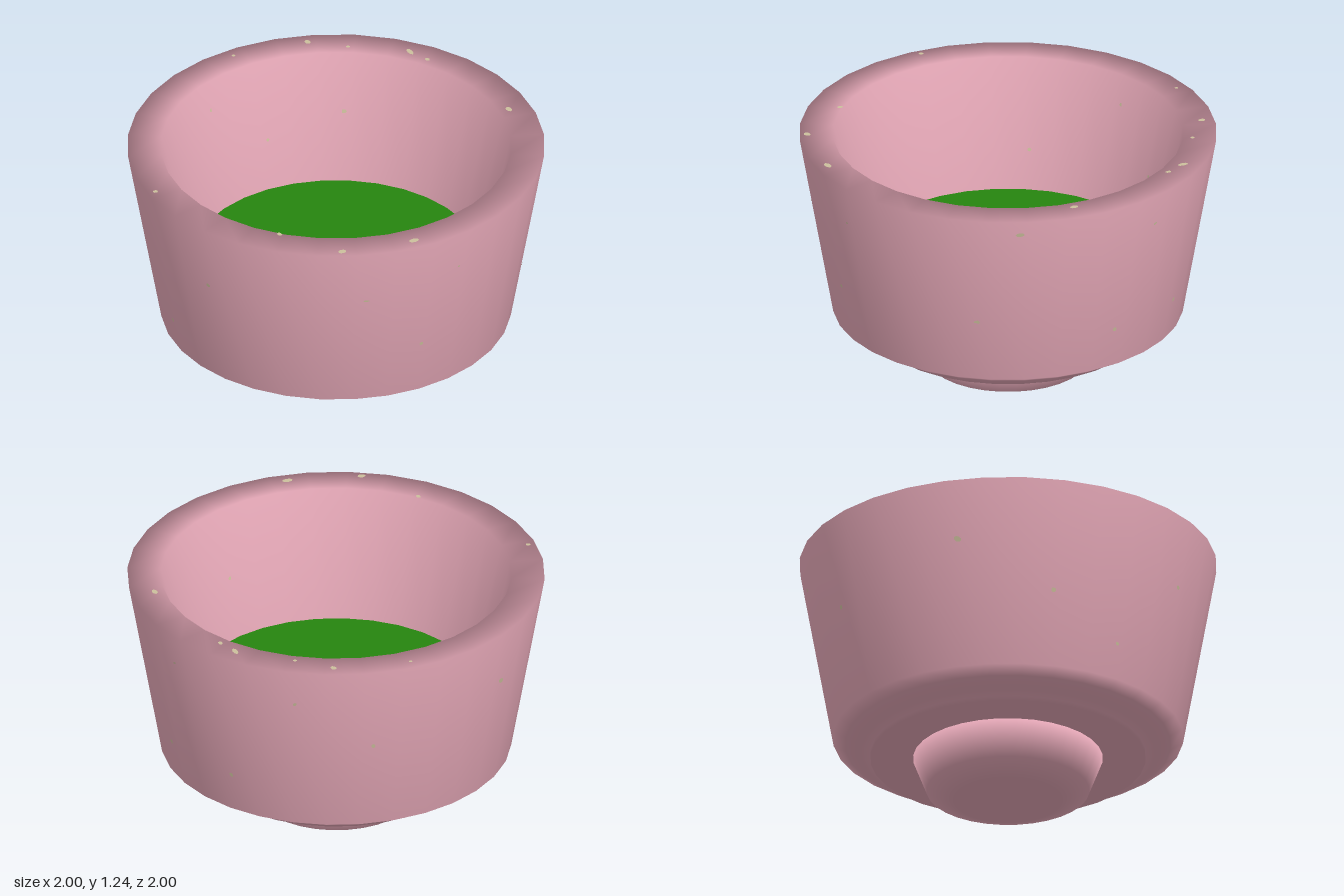
import * as THREE from 'three';

const SIDES = 32;

function lathe(name, points, material) {
  const profile = points.map(([r, y]) => new THREE.Vector2(r, y));
  const mesh = new THREE.Mesh(new THREE.LatheGeometry(profile, SIDES), material);
  mesh.name = name;
  return mesh;
}

export function createModel() {
  const group = new THREE.Group();
  group.name = 'teaBowl';

  const pink = new THREE.MeshStandardMaterial({ color: 0xe0a4b3 });
  pink.name = 'pink glaze';
  const green = new THREE.MeshStandardMaterial({ color: 0x26850f });
  green.name = 'green tea';
  const cream = new THREE.MeshStandardMaterial({ color: 0xcbbf9c });
  cream.name = 'cream speckle';

  // Bowl: underside, stepped base, flared wall, flat lip and inner wall
  group.add(lathe('bowl', [
    [0, 0.22], [0.45, 0.22], [0.66, 0.22], [0.66, 0.243], [0.71, 0.255],
    [0.78, 0.295], [0.84, 0.33], [1, 1.24], [0.84, 1.24],
    [0.69, 0.61], [0.6, 0.4], [0, 0.34],
  ], pink));

  // Foot: small tapered base with a bevelled bottom edge
  group.add(lathe('foot', [
    [0, 0], [0.26, 0], [0.39, 0.05], [0.455, 0.22], [0, 0.225],
  ], pink));

  // Tea: flat liquid surface inside the bowl
  const tea = new THREE.Mesh(new THREE.CircleGeometry(0.695, SIDES), green);
  tea.name = 'tea';
  tea.geometry.rotateX(-Math.PI / 2);
  tea.position.y = 0.61;
  group.add(tea);

  // Speckles: tiny flat ovals lying on the glaze
  const speckles = new THREE.Group();
  speckles.name = 'speckles';
  const dot = new THREE.CircleGeometry(1, 8);
  const forward = new THREE.Vector3(0, 0, 1);
  const addSpeckle = (position, normal, w, h) => {
    const speckle = new THREE.Mesh(dot, cream);
    speckle.name = 'speckle';
    normal.normalize();
    speckle.position.copy(position).addScaledVector(normal, 0.003);
    speckle.quaternion.setFromUnitVectors(forward, normal);
    speckle.scale.set(w, h, 1);
    speckles.add(speckle);
  };

  // On a sloped wall: angle is measured from the front towards +x
  const onWall = (angle, y, [r0, y0], [r1, y1], side, w, h) => {
    const r = r0 + (r1 - r0) * (y - y0) / (y1 - y0);
    const s = Math.sin(angle), c = Math.cos(angle);
    const tilt = -side * (r1 - r0) / (y1 - y0);
    addSpeckle(new THREE.Vector3(s * r, y, c * r), new THREE.Vector3(side * s, tilt, side * c), w, h);
  };
  const outer = [[0.84, 0.33], [1, 1.24]];
  const inner = [[0.69, 0.61], [0.84, 1.24]];

  // Outer wall speckles: angle, height, half width, half height
  [
    [-0.34, 0.95, 0.016, 0.005], [-0.02, 0.62, 0.01, 0.01], [0.16, 1.04, 0.007, 0.005],
    [0.91, 0.66, 0.012, 0.006], [1.14, 1.17, 0.022, 0.011], [0.92, 0.66, 0.01, 0.01],
    [1.7, 0.54, 0.011, 0.012], [1.89, 1.08, 0.011, 0.006], [2.2, 0.54, 0.01, 0.012],
    [-1.2, 0.9, 0.012, 0.01], [-2, 0.7, 0.012, 0.012], [-2.5, 0.95, 0.02, 0.013],
    [3, 0.8, 0.012, 0.01], [2.6, 1.05, 0.011, 0.008], [-1.6, 0.5, 0.01, 0.009],
  ].forEach(([a, y, w, h]) => onWall(a, y, ...outer, 1, w, h));

  // Inner wall speckles
  [
    [-2.8, 1.1, 0.011, 0.009], [2.6, 0.95, 0.016, 0.01], [3.1, 0.85, 0.008, 0.008],
    [-2.2, 0.8, 0.01, 0.009], [0.4, 0.9, 0.01, 0.008], [-0.5, 1, 0.012, 0.008],
  ].forEach(([a, y, w, h]) => onWall(a, y, ...inner, -1, w, h));

  // Lip speckles: x, z, half width, half depth
  [
    [0.32, -0.88, 0.014, 0.018], [0.71, -0.57, 0.013, 0.028], [0.75, -0.47, 0.011, 0.015],
    [0.47, -0.75, 0.01, 0.01], [0.88, 0.11, 0.014, 0.022], [-0.08, 0.935, 0.026, 0.016],
    [-0.43, 0.86, 0.02, 0.016], [-0.96, -0.04, 0.012, 0.012], [-0.62, 0.58, 0.011, 0.015],
    [-0.05, -0.94, 0.009, 0.009],
  ].forEach(([x, z, w, d]) =>
    addSpeckle(new THREE.Vector3(x, 1.24, z), new THREE.Vector3(0, 1, 0), w, d));

  group.add(speckles);
  return group;
}
